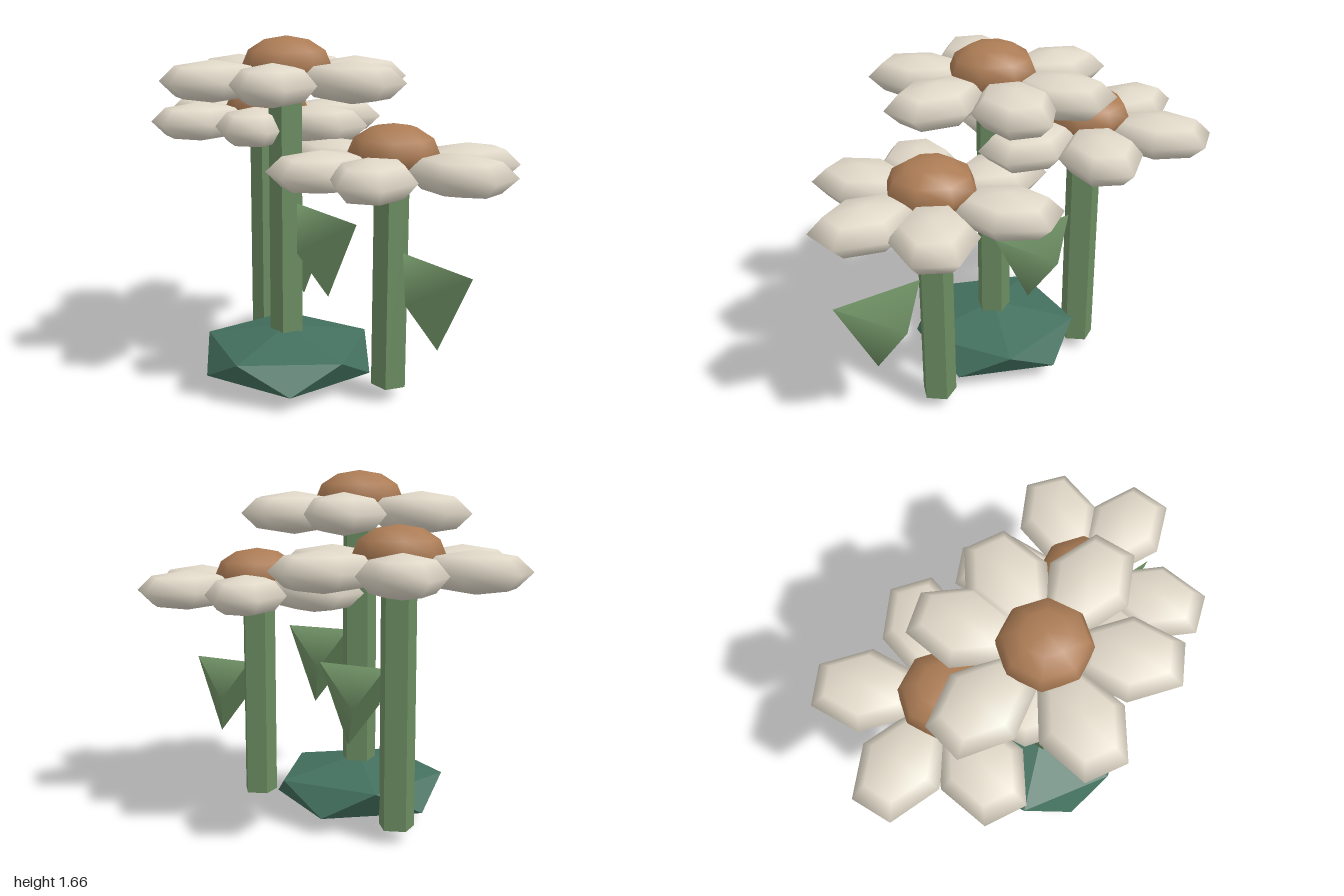
import * as THREE from 'three';
import { toCreasedNormals } from 'three/addons/utils/BufferGeometryUtils.js';
import { ConvexGeometry } from 'three/addons/geometries/ConvexGeometry.js';

const material = (name, color) => {
  const m = new THREE.MeshStandardMaterial({ color });
  m.name = name;
  return m;
};

export function createModel() {
  const petalWhite = material('petalWhite', 0xe0d8c8);
  const centreBrown = material('centreBrown', 0xac7c55);
  const stemGreen = material('stemGreen', 0x6c8d62);
  const rockTeal = material('rockTeal', 0x43705f);

  const model = new THREE.Group();
  model.name = 'flowerCluster';

  const add = (parent, name, geometry, mat, x, y, z) => {
    const mesh = new THREE.Mesh(geometry, mat);
    mesh.name = name;
    mesh.position.set(x, y, z);
    parent.add(mesh);
    return mesh;
  };

  // Shared low-poly, smooth-shaded parts
  const petalGeo = new THREE.SphereGeometry(1, 6, 4).scale(0.19, 0.095, 0.255);
  const centreGeo = new THREE.SphereGeometry(0.205, 8, 6).scale(1, 0.64, 1);
  const leafGeo = new THREE.ConeGeometry(0.228, 0.35, 4).scale(1, 1, 0.4);
  const stemBottom = 0.06;

  // Each flower: position, head height and petal directions in degrees
  const flowers = [
    { name: 'tallFlower', x: -0.03, z: 0.118, head: 1.465, petals: [47, 106, 177, 238, 284, 343] },
    { name: 'rightFlower', x: -0.43, z: -0.058, head: 1.232, petals: [45, 104, 162, 227, 293, 350] },
    { name: 'leftFlower', x: 0.416, z: -0.135, head: 1.093, petals: [57, 106, 172, 230, 295, 348] },
  ];

  for (const f of flowers) {
    const flower = new THREE.Group();
    flower.name = f.name;
    flower.position.set(f.x, 0, f.z);
    model.add(flower);

    // Five-sided stem, flat side to the front
    const length = f.head - stemBottom;
    const stemGeo = toCreasedNormals(
      new THREE.CylinderGeometry(0.084, 0.084, length, 5, 1, false, Math.PI), 0.5);
    add(flower, 'stem', stemGeo, stemGreen, 0, stemBottom + length / 2, 0);

    // Flattened four-sided cone leaf
    const leaf = add(flower, 'leaf', leafGeo, stemGreen, 0.34, stemBottom + length / 2 + 0.022, 0);
    leaf.rotation.z = -Math.PI / 3;

    // Flower head
    add(flower, 'flowerCentre', centreGeo, centreBrown, 0, f.head + 0.062, 0);
    for (const degrees of f.petals) {
      const a = THREE.MathUtils.degToRad(degrees);
      const petal = add(flower, 'petal', petalGeo, petalWhite,
        Math.cos(a) * 0.35, f.head, Math.sin(a) * 0.35);
      petal.rotation.y = Math.PI / 2 - a;
    }
  }

  // Squashed faceted rock: two poles and two opposed five-point rings
  const points = [new THREE.Vector3(0, 0.142, 0), new THREE.Vector3(0, -0.142, 0)];
  for (let i = 0; i < 5; i++) {
    const a = (i / 5) * Math.PI * 2;
    const x = Math.cos(a) * 0.406, z = Math.sin(a) * 0.406;
    points.push(new THREE.Vector3(x, 0.064, z), new THREE.Vector3(-x, -0.064, -z));
  }
  add(model, 'rock', new ConvexGeometry(points), rockTeal, -0.03, 0.142, 0.12);

  return model;
}
